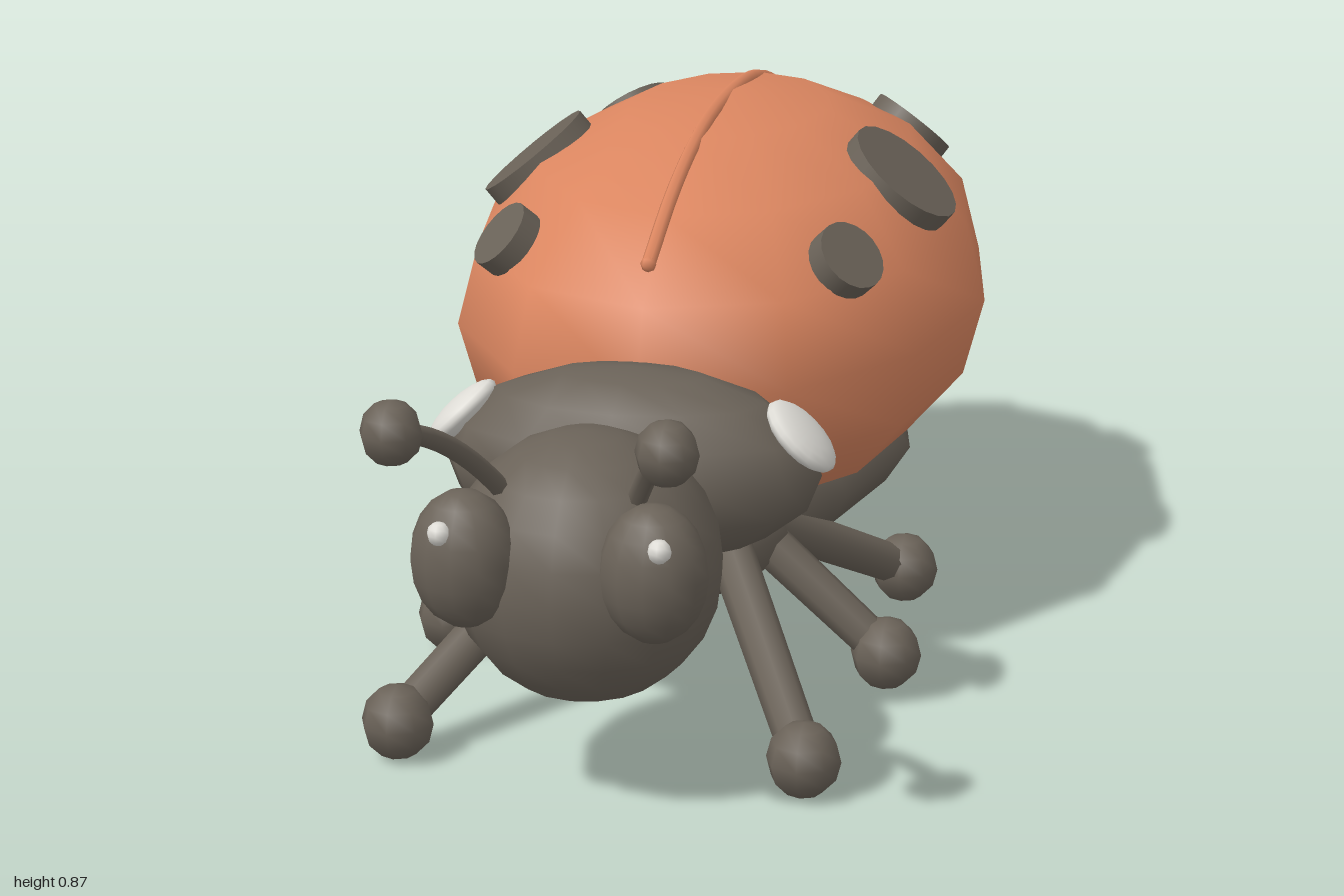
import * as THREE from 'three';

export function createModel() {
  const model = new THREE.Group();
  model.name = 'beetle';
  const mat = (name, color) => {
    const m = new THREE.MeshStandardMaterial({ color });
    m.name = name;
    return m;
  };
  const orange = mat('shellOrange', 0xdb8660);
  const dark = mat('bodyBrown', 0x6a6258);
  const white = mat('markWhite', 0xdedcd6);

  const add = (name, geometry, material, pos = [0, 0, 0]) => {
    const mesh = new THREE.Mesh(geometry, material);
    mesh.name = name;
    mesh.position.set(...pos);
    model.add(mesh);
    return mesh;
  };
  const ball = (name, material, pos, radii, w = 12, h = 8) => {
    const mesh = add(name, new THREE.SphereGeometry(1, w, h), material, pos);
    mesh.scale.set(...radii);
    return mesh;
  };
  const UP = new THREE.Vector3(0, 1, 0);
  const face = (mesh, normal) => mesh.quaternion.setFromUnitVectors(UP, normal.normalize());
  // Straight tapered limb between two points
  const limb = (name, a, b, ra, rb) => {
    const p = new THREE.Vector3(...a), q = new THREE.Vector3(...b);
    const dir = q.clone().sub(p);
    const mid = p.clone().add(q).multiplyScalar(0.5);
    const mesh = add(name, new THREE.CylinderGeometry(rb, ra, dir.length(), 8), dark, mid.toArray());
    face(mesh, dir);
  };

  // Body masses
  const shellC = [0, 0.53, -0.332], shellR = [0.447, 0.345, 0.667];
  ball('wingShell', orange, shellC, shellR);
  ball('belly', dark, [0, 0.24, -0.38], [0.316, 0.13, 0.48], 10, 6);
  ball('chest', dark, [0, 0.25, 0.12], [0.2, 0.12, 0.17], 10, 8);
  ball('neckPlate', dark, [0, 0.44, 0.367], [0.302, 0.155, 0.155]);
  ball('head', dark, [0, 0.372, 0.642], [0.206, 0.208, 0.202], 16, 12);

  // Raised seam along the top of the shell
  const seam = new THREE.CatmullRomCurve3([
    [0.25, 0.725], [0.08, 0.8], [-0.12, 0.852], [-0.33, 0.866],
    [-0.55, 0.85], [-0.73, 0.798], [-0.885, 0.73],
  ].map(([z, y]) => new THREE.Vector3(0, y, z)));
  add('shellSeam', new THREE.TubeGeometry(seam, 24, 0.012, 6), orange);
  for (const [y, z] of [[0.725, 0.25], [0.73, -0.885]]) ball('seamEnd', orange, [0, y, z], [0.013, 0.013, 0.013], 6, 4);

  const spots = [[0.28, 0.7, 0.07, 0.06], [0.312, 0.757, -0.247, 0.105], [0.252, 0.737, -0.685, 0.078]];
  const legs = [
    ['front', [0.13, 0.27, 0.25], [0.32, 0.062, 0.583]],
    ['middle', [0.14, 0.25, 0.11], [0.367, 0.062, 0.135]],
    ['rear', [0.13, 0.225, 0.0], [0.33, 0.062, -0.26]],
  ];

  for (const [side, s] of [['left', 1], ['right', -1]]) {
    // Shell spots lie along the curve of the shell
    for (const [x, y, z, r] of spots) {
      const spot = add(side + 'Spot', new THREE.CylinderGeometry(r, r, 0.036, 20), dark, [s * x, y, z]);
      const n = [s * x, y, z].map((v, i) => (v - shellC[i]) / shellR[i] ** 2);
      face(spot, new THREE.Vector3(...n));
    }

    // Pale marks on the neck plate
    const mark = ball(side + 'NeckMark', white, [s * 0.27, 0.503, 0.372], [0.07, 0.024, 0.065], 16, 10);
    face(mark, new THREE.Vector3(s * 0.7, 0.72, 0.02));

    // Eyes
    ball(side + 'Eye', dark, [s * 0.141, 0.426, 0.8], [0.081, 0.105, 0.07], 12, 10);
    ball(side + 'EyeGlint', white, [s * 0.162, 0.48, 0.853], [0.018, 0.018, 0.018], 8, 6);

    // Antennae
    const curve = new THREE.QuadraticBezierCurve3(
      new THREE.Vector3(s * 0.1, 0.51, 0.735),
      new THREE.Vector3(s * 0.155, 0.63, 0.825),
      new THREE.Vector3(s * 0.197, 0.66, 0.95));
    add(side + 'Antenna', new THREE.TubeGeometry(curve, 10, 0.015, 6), dark);
    ball(side + 'AntennaTip', dark, [s * 0.197, 0.662, 0.952], [0.046, 0.048, 0.046], 8, 6);

    // Legs with round feet
    for (const [name, hip, foot] of legs) {
      const h = [s * hip[0], hip[1], hip[2]], f = [s * foot[0], foot[1], foot[2]];
      limb(`${side}${name}Leg`, h, f, 0.037, 0.033);
      ball(`${side}${name}Foot`, dark, f, [0.058, 0.06, 0.058], 8, 6);
    }
  }
  return model;
}
